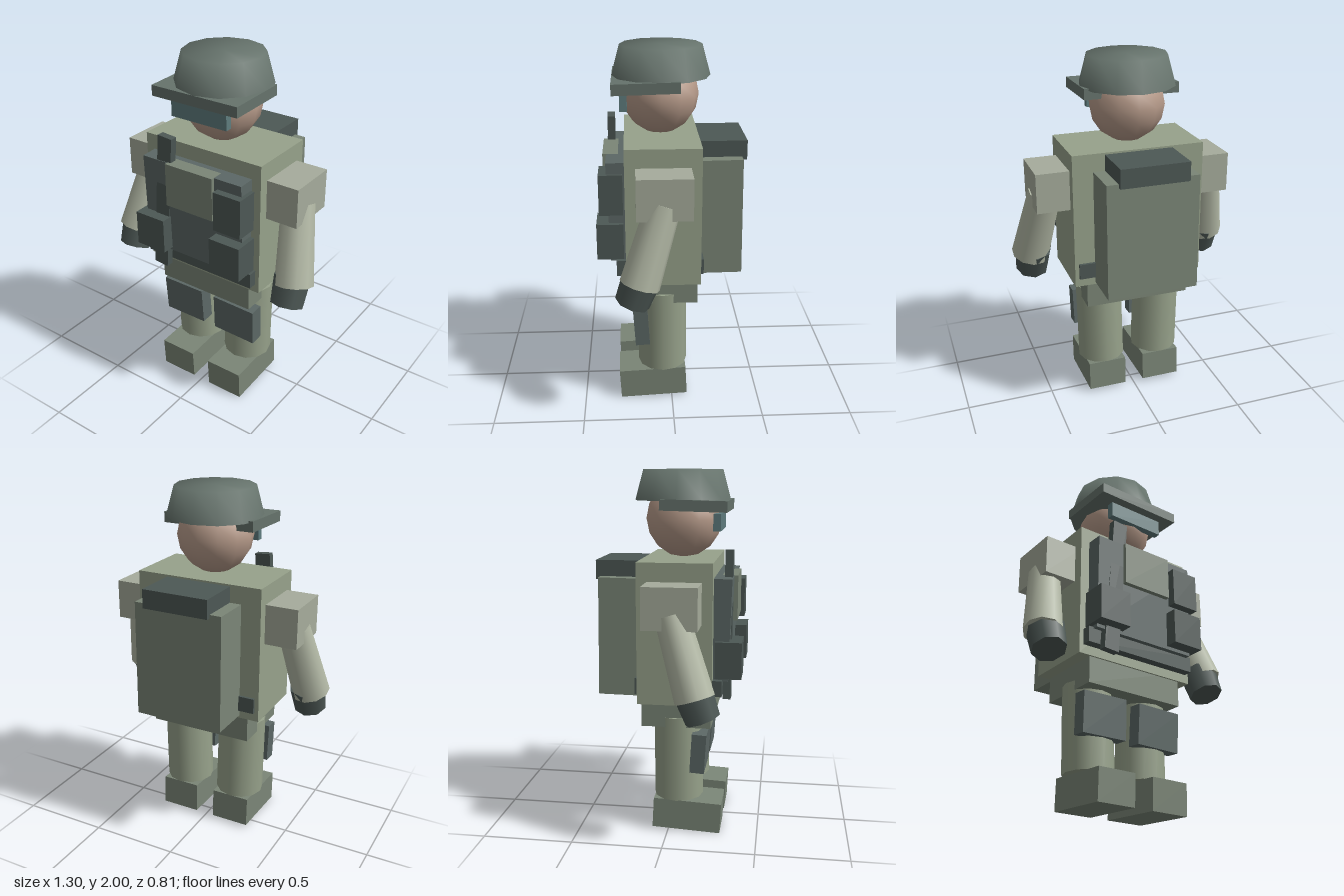
import * as THREE from 'three';

const mat = (color) => new THREE.MeshStandardMaterial({ color });
const cloth = mat(0x97a28b);
const sleeve = mat(0xb3b9a6);
const shoulder = mat(0xa6ac9c);
const olive = mat(0x7b8677);
const steel = mat(0x66736c);
const armour = mat(0x5c6866);
const dark = mat(0x4d5855);
const skin = mat(0xb89c8b);
const lens = mat(0x5f7c7e);

export function createModel() {
  const model = new THREE.Group();
  model.name = 'soldier';

  const add = (name, geometry, material) => {
    const mesh = new THREE.Mesh(geometry, material);
    mesh.name = name;
    model.add(mesh);
    return mesh;
  };

  // box from its extents, with an optional tilt about x
  const box = (name, material, [x0, x1], [y0, y1], [z0, z1], tilt = 0) => {
    const mesh = add(name, new THREE.BoxGeometry(x1 - x0, y1 - y0, z1 - z0), material);
    mesh.position.set((x0 + x1) / 2, (y0 + y1) / 2, (z0 + z1) / 2);
    mesh.rotation.x = tilt;
    return mesh;
  };

  // tapered cylinder running from a to b
  const limb = (name, material, a, b, ra, rb, sides) => {
    const from = new THREE.Vector3(...a);
    const to = new THREE.Vector3(...b);
    const mesh = add(name, new THREE.CylinderGeometry(ra, rb, from.distanceTo(to), sides), material);
    mesh.position.copy(from).add(to).multiplyScalar(0.5);
    mesh.quaternion.setFromUnitVectors(new THREE.Vector3(0, 1, 0), from.sub(to).normalize());
    return mesh;
  };

  // body
  box('torso', cloth, [-0.37, 0.37], [0.77, 1.53], [-0.152, 0.25]);
  box('hips', olive, [-0.3, 0.3], [0.625, 0.82], [-0.14, 0.24]);
  box('belt', dark, [-0.347, 0.347], [0.82, 0.907], [-0.168, 0.3]);

  // head, goggles and helmet
  add('head', new THREE.SphereGeometry(0.21, 12, 8), skin).position.set(0, 1.735, 0.052);
  box('goggles', lens, [-0.173, 0.173], [1.677, 1.768], [0.23, 0.27]);
  const helmetProfile = [[0, 1.836], [0.265, 1.836], [0.265, 1.836], [0.22, 2], [0, 2]]
    .map(([r, y]) => new THREE.Vector2(r, y));
  add('helmet', new THREE.LatheGeometry(helmetProfile, 12), steel).position.z = 0.046;
  box('helmetBrim', steel, [-0.265, 0.265], [1.784, 1.842], [-0.045, 0.31], 0.025);

  // arms and legs
  for (const s of [1, -1]) {
    const side = s > 0 ? 'left' : 'right';
    const span = (a, b) => (s > 0 ? [a, b] : [-b, -a]);

    box(side + 'Shoulder', shoulder, span(0.33, 0.553), [1.21, 1.43], [-0.095, 0.193]);
    limb(side + 'Arm', sleeve, [s * 0.475, 1.275, 0.05], [s * 0.547, 0.86, 0.18], 0.09, 0.107, 10);
    limb(side + 'Glove', dark, [s * 0.53, 0.9, 0.165], [s * 0.533, 0.752, 0.22], 0.105, 0.094, 8);

    limb(side + 'Leg', cloth, [s * 0.18, 0.68, 0.05], [s * 0.169, 0.2, 0.05], 0.136, 0.138, 12);
    box(side + 'KneePad', armour, span(0.042, 0.312), [0.37, 0.592], [0.132, 0.212], 0.06)
      .rotation.z = s * -0.015;
    box(side + 'Boot', olive, span(0.056, 0.28), [0.014, 0.186], [-0.083, 0.297], 0.05);

    // lower vest pouches
    box(side + 'LowerPouch', dark, span(0.153, 0.342), [0.917, 1.115], [0.26, 0.402]);
  }

  // vest
  box('vest', armour, [-0.317, 0.317], [0.9, 1.445], [0.22, 0.338], 0.03);
  box('chestPanel', olive, [-0.153, 0.15], [1.2, 1.445], [0.28, 0.366]);
  box('upperPouch', dark, [0.17, 0.338], [1.165, 1.385], [0.26, 0.386]);

  // slung bar across the right of the chest
  box('slungBar', dark, [-0.245, -0.155], [0.785, 1.585], [0.3, 0.342]).rotation.z = -0.08;

  // backpack
  box('backpack', olive, [-0.256, 0.256], [0.785, 1.432], [-0.382, -0.12], 0.012);
  box('backpackRoll', dark, [-0.19, 0.19], [1.415, 1.52], [-0.405, -0.13]);

  return model;
}
